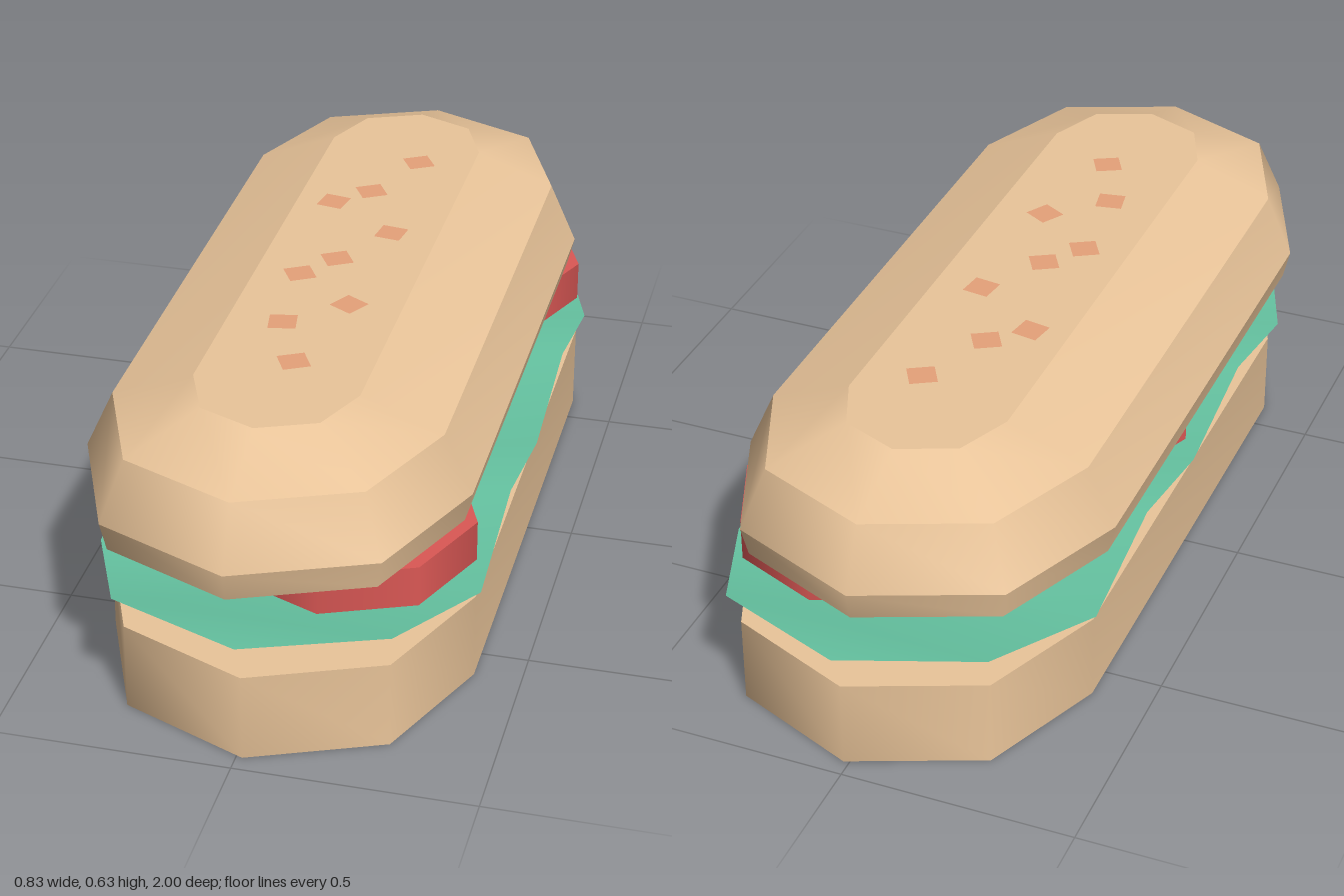
import * as THREE from 'three';
import { mergeGeometries } from 'three/addons/utils/BufferGeometryUtils.js';

const paint = (color, opts = {}) => new THREE.MeshStandardMaterial({ color, ...opts });

function surface(positions, indices) {
  const g = new THREE.BufferGeometry();
  g.setAttribute('position', new THREE.Float32BufferAttribute(positions, 3));
  g.setIndex(indices);
  g.computeVertexNormals();
  return g;
}

// Ten-sided stadium: two half circles of four segments, joined by straight sides
function stadium(cx, r, y, zc) {
  const points = [];
  for (let end = 0; end < 2; end++) {
    for (let k = 0; k <= 4; k++) {
      const t = (end + k / 4) * Math.PI;
      points.push([cx + r * Math.cos(t), y, r * Math.sin(t) + (end ? -zc : zc)]);
    }
  }
  return points;
}

// Stacked stadium rings [radius, y]; each band is smooth around and creased at its rims
function bunGeometry(cx, zc, levels) {
  const rings = levels.map(([r, y]) => stadium(cx, r, y, zc));
  const n = rings[0].length;
  const parts = [];
  for (let l = 0; l < rings.length - 1; l++) {
    const index = [];
    for (let i = 0; i < n; i++) {
      const j = (i + 1) % n;
      index.push(i, n + i, n + j, i, n + j, j);
    }
    parts.push(surface([...rings[l], ...rings[l + 1]].flat(), index));
  }
  const cap = (ring, up) => {
    const index = [];
    for (let i = 0; i < n; i++) {
      const j = (i + 1) % n;
      index.push(n, ...(up ? [j, i] : [i, j]));
    }
    return surface([...ring, [cx, ring[0][1], 0]].flat(), index);
  };
  parts.push(cap(rings[0], false), cap(rings[rings.length - 1], true));
  return mergeGeometries(parts);
}

// Thin wavy leaf: cross rows [z, half width, y]
function leafGeometry(cx) {
  const rows = [[1, 0, 0.287], [0.885, 0.285, 0.282]];
  for (let i = 0; i < 5; i++) rows.push([0.6 - 0.3 * i, 0.4025, i % 2 ? 0.282 : 0.222]);
  rows.push([-0.885, 0.285, 0.282], [-1, 0, 0.287]);
  const index = [];
  for (let i = 0; i < rows.length - 1; i++) {
    const a = 2 * i;
    if (i > 0) index.push(a, a + 1, a + 3);
    if (i < rows.length - 2) index.push(a, a + 3, a + 2);
    else index.push(a, a + 1, a + 2);
    if (i === rows.length - 2) index.splice(-6, 3);
  }
  // Front tip triangle uses the single tip vertex
  index.splice(0, 3, 0, 3, 2);
  return surface(rows.flatMap(([z, w, y]) => [cx - w, y, z, cx + w, y, z]), index);
}

export function createModel() {
  const model = new THREE.Group();
  const add = (name, geometry, material) => {
    const mesh = new THREE.Mesh(geometry, material);
    mesh.name = name;
    model.add(mesh);
    return mesh;
  };
  const bread = paint(0xeac59a);

  // Bread halves
  add('bottomBun', bunGeometry(0.0125, 0.575, [[0.3875, 0], [0.3875, 0.193]]), bread);
  add('topBun', bunGeometry(-0.015, 0.573,
    [[0.388, 0.372], [0.403, 0.435], [0.344, 0.565], [0.172, 0.63]]), bread);

  // Lettuce leaf
  add('lettuce', leafGeometry(0.0125), paint(0x66c4a2, { side: THREE.DoubleSide }));

  // Tomato slices, the middle one pushed to the other side
  const slice = new THREE.CylinderGeometry(0.265, 0.265, 0.089, 8);
  [[0.135, 0.575], [-0.11, -0.015], [0.135, -0.572]].forEach(([x, z], i) => {
    add('tomatoSlice' + (i + 1), slice, paint(0xdb5855, { flatShading: i === 1 }))
      .position.set(x, 0.3275, z);
  });

  // Flat seeds: x, z, turn in degrees
  const seed = new THREE.PlaneGeometry(0.058, 0.058).rotateX(-Math.PI / 2);
  const seedPaint = paint(0xe6a27a, { side: THREE.DoubleSide });
  [
    [0.035, -0.485, 30], [-0.035, -0.315, 30], [-0.105, -0.245, -10],
    [0.055, -0.125, -8], [-0.03, 0.02, 30], [-0.09, 0.105, 30],
    [0.045, 0.215, -30], [-0.07, 0.32, 10], [-0.005, 0.475, 28],
  ].forEach(([x, z, turn], i) => {
    const mesh = add('seed' + (i + 1), seed, seedPaint);
    mesh.position.set(x, 0.632, z);
    mesh.rotation.y = THREE.MathUtils.degToRad(turn);
  });

  return model;
}
